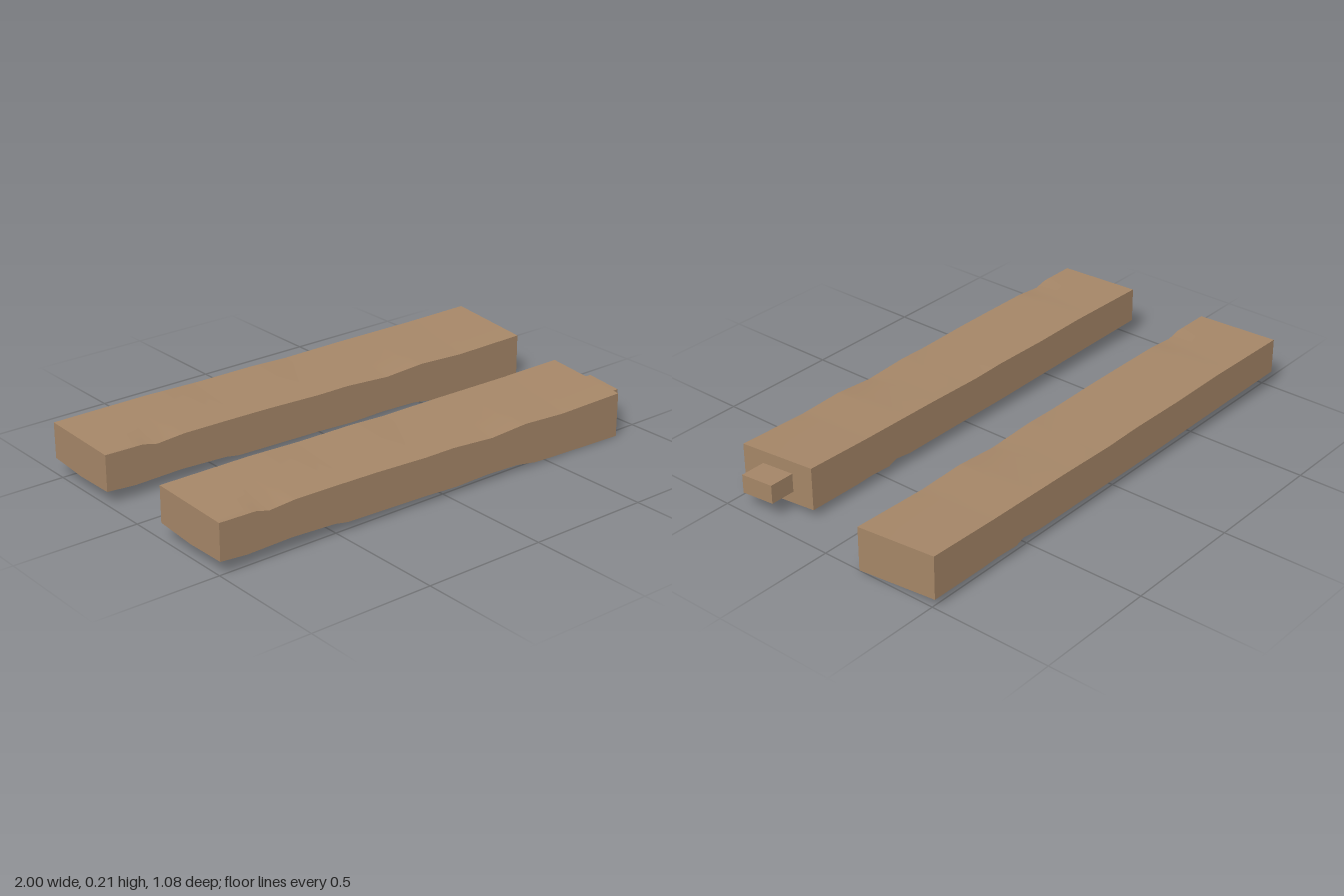
import * as THREE from 'three';
import { mergeGeometries } from 'three/addons/utils/BufferGeometryUtils.js';

// Worn edge heights along a beam: [t, y] with t = 0 at the -x end, 1 at the +x end
const EDGES = {
  frontBottom: [[0, 0.055], [0.06, 0.047], [0.16, 0.053], [0.26, 0.046], [0.29, 0.036], [0.48, 0.03],
    [0.56, 0.024], [0.64, 0.029], [0.72, 0.025], [0.77, 0.01], [0.82, 0.007], [1, 0]],
  frontTop: [[0, 0.2], [0.08, 0.198], [0.11, 0.184], [0.17, 0.193], [0.27, 0.192], [0.36, 0.19],
    [0.48, 0.183], [0.55, 0.184], [0.65, 0.172], [0.74, 0.183], [0.84, 0.174], [1, 0.18]],
  backTop: [[0, 0.21], [0.2, 0.213], [0.32, 0.208], [0.45, 0.209], [0.53, 0.204], [0.66, 0.207], [0.85, 0.207], [1, 0.211]],
  backBottom: [[0, 0.066], [0.15, 0.061], [0.3, 0.055], [0.45, 0.048], [0.6, 0.046], [0.73, 0.043],
    [0.77, 0.052], [0.79, 0.037], [0.84, 0.041], [0.88, 0.037], [1, 0.036]],
};

function heightAt(edge, t) {
  const k = Math.max(1, edge.findIndex((p) => p[0] >= t - 1e-6));
  const [a, b] = [edge[k - 1], edge[k]];
  return THREE.MathUtils.mapLinear(t, a[0], b[0], a[1], b[1]);
}

// Surface patch from rows of points, smooth within itself
function patch(rows) {
  const n = rows[0].length, index = [];
  for (let i = 0; i < rows.length - 1; i++) {
    for (let j = 0; j < n - 1; j++) {
      const a = i * n + j, b = a + n;
      index.push(a, b, b + 1, a, b + 1, a + 1);
    }
  }
  return finish(rows.flat(), index);
}

function finish(points, index) {
  const g = new THREE.BufferGeometry();
  g.setAttribute('position', new THREE.Float32BufferAttribute(points.flat(), 3));
  g.setIndex(index);
  g.computeVertexNormals();
  return g;
}

// Flat end of a beam, fanned from its section loop
function cap(loop, flip) {
  const index = [];
  for (let j = 1; j < loop.length - 1; j++) index.push(0, ...(flip ? [j + 1, j] : [j, j + 1]));
  return finish(loop, index);
}

// Beam with worn long edges; zFront runs from z0 at the -x end to z1 at the +x end
function beamGeometry(x0, x1, z0, z1, width) {
  const ts = [...new Set(Object.values(EDGES).flat().map((p) => p[0]))].sort((a, b) => a - b);
  const sections = ts.map((t) => {
    const x = x0 + (x1 - x0) * t, zf = z0 + (z1 - z0) * t;
    const h = (name) => heightAt(EDGES[name], t);
    const fb = h('frontBottom'), ft = h('frontTop'), bt = h('backTop'), bb = h('backBottom');
    const smoothTop = 0.2 - 0.02 * t;
    return [
      [x, fb, zf],
      [x, ft, zf],
      [x, smoothTop + (bt - smoothTop) * 0.35, zf - width * 0.35],
      [x, bt, zf - width],
      [x, bb, zf - width],
      [x, (fb + bb) / 2 - 0.008 * (1 - t), zf - width * 0.5],
      [x, fb, zf],
    ];
  });
  const faces = [[0, 2], [1, 4], [3, 5], [4, 7]].map(([a, b]) => patch(sections.map((s) => s.slice(a, b))));
  const ends = [cap(sections[0].slice(0, 6), false), cap(sections.at(-1).slice(0, 6), true)];
  return mergeGeometries([...faces, ...ends]);
}

export function createModel() {
  const model = new THREE.Group();
  const wood = new THREE.MeshStandardMaterial({ color: 0xa68768 });
  wood.name = 'wood';

  const add = (name, geometry) => {
    const mesh = new THREE.Mesh(geometry, wood);
    mesh.name = name;
    model.add(mesh);
    return mesh;
  };

  add('backBeam', beamGeometry(-1, 1, -0.19, -0.163, 0.35));
  add('frontBeam', beamGeometry(-1, 0.87, 0.507, 0.536, 0.35));

  // Tenon on the +x end of the front beam, tilted with its section
  const tenonGeometry = new THREE.BoxGeometry(0.115, 0.076, 0.15);
  const p = tenonGeometry.attributes.position;
  for (let i = 0; i < p.count; i++) p.setY(i, p.getY(i) - p.getZ(i) * 0.09);
  tenonGeometry.computeVertexNormals();
  add('tenon', tenonGeometry).position.set(0.9175, 0.106, 0.36);

  return model;
}
